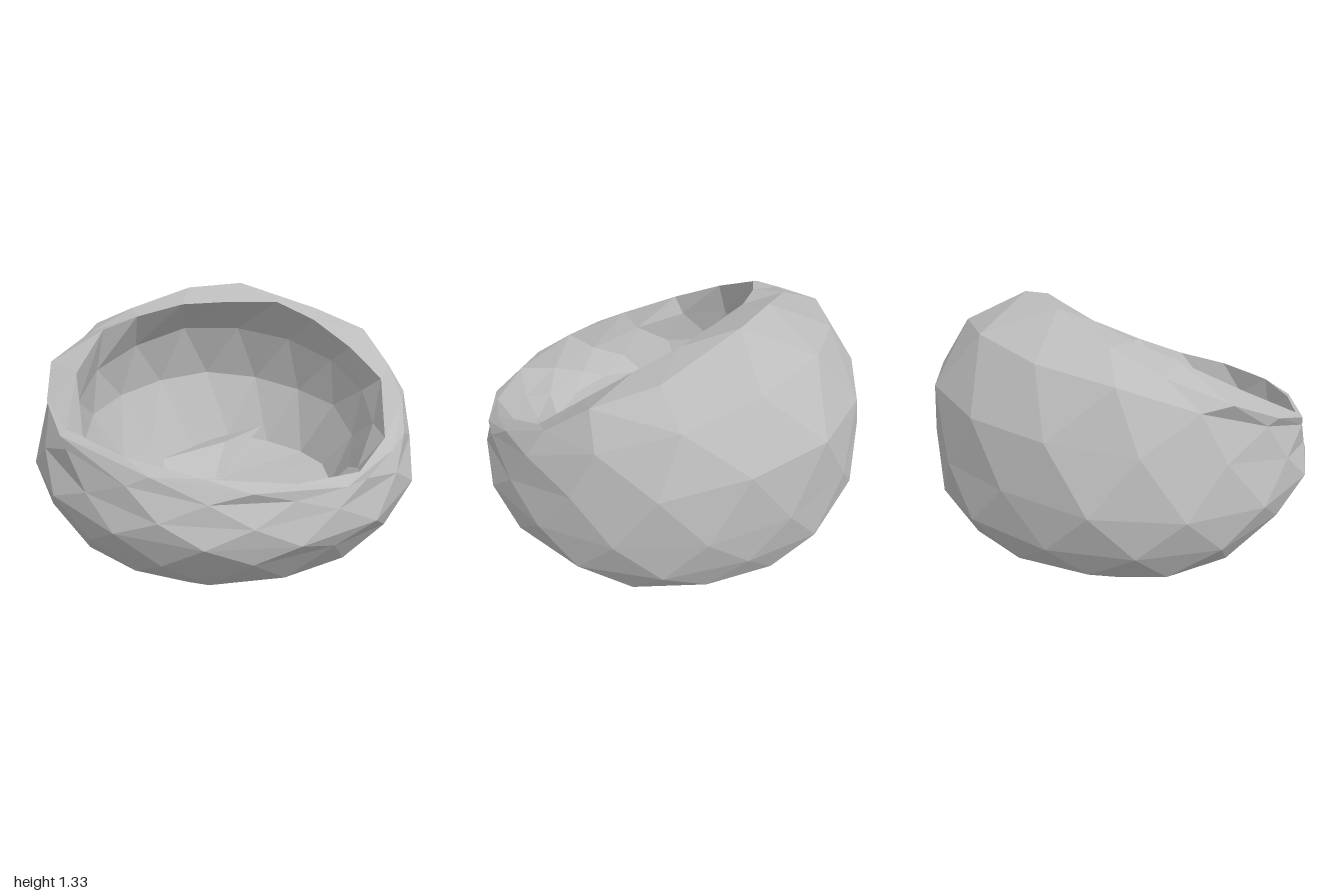
import * as THREE from 'three';

const SIDES = 15;

// small seeded generator for the hewn irregularity
function seeded(seed) {
  return () => {
    seed = (seed * 16807) % 2147483647;
    return seed / 2147483647 - 0.5;
  };
}

const v = (x, y, z) => new THREE.Vector3(x, y, z);

// tilted oval rings: [zFront, zBack, halfWidth, yFront, yBack, roughness, xMiddle]
const OUTER = [
  [0.60, -0.70, 0.61, 0.01, 0.04, 0.03, 0],
  [0.82, -0.88, 0.84, 0.14, 0.19, 0.05, 0],
  [0.96, -0.97, 0.96, 0.31, 0.38, 0.05, 0],
  [1.00, -1.00, 1.00, 0.42, 0.63, 0.04, 0],
  [0.99, -0.96, 0.97, 0.50, 0.93, 0.04, 0],
  [0.96, -0.77, 0.91, 0.58, 1.20, 0.03, 0],
];
const INNER = [
  [0.85, -0.50, 0.75, 0.54, 1.06, 0.04, -0.02],
  [0.79, -0.57, 0.71, 0.46, 0.78, 0.04, -0.04],
  [0.72, -0.40, 0.58, 0.40, 0.42, 0.03, -0.05],
];

// uneven crest and the lip of the opening, from the front round by the left
const CREST = [
  v(0, 0.645, 0.95), v(0.42, 0.63, 0.89), v(0.70, 0.70, 0.66), v(0.84, 0.85, 0.38),
  v(0.85, 0.97, 0.12), v(0.77, 1.12, -0.08), v(0.56, 1.20, -0.30), v(0.15, 1.33, -0.46),
  v(-0.15, 1.31, -0.45), v(-0.48, 1.21, -0.38), v(-0.70, 1.11, -0.25), v(-0.90, 1.0, -0.03),
  v(-0.90, 0.87, 0.25), v(-0.82, 0.78, 0.50), v(-0.43, 0.69, 0.82),
];
const LIP = [
  v(0.20, 0.66, 0.90), v(0.50, 0.66, 0.80), v(0.68, 0.74, 0.60), v(0.78, 0.92, 0.22),
  v(0.66, 1.05, 0.05), v(0.50, 1.17, -0.12), v(0.32, 1.25, -0.25), v(0.05, 1.25, -0.28),
  v(-0.20, 1.24, -0.29), v(-0.45, 1.19, -0.22), v(-0.63, 1.14, -0.13), v(-0.76, 0.98, 0.15),
  v(-0.79, 0.80, 0.48), v(-0.53, 0.74, 0.70), v(-0.20, 0.69, 0.87),
];

function makeRing([zF, zB, w, yF, yB, rough, xMid], index, rand) {
  const points = [];
  for (let j = 0; j < SIDES; j++) {
    const a = ((j + (index % 2) * 0.5) / SIDES) * Math.PI * 2;
    const t = (1 - Math.cos(a)) / 2;
    const r = 1 + rand() * rough;
    points.push(v(
      xMid + Math.sin(a) * w * r,
      Math.max(0, yF + (yB - yF) * t + rand() * rough),
      (zF + zB) / 2 + Math.cos(a) * ((zF - zB) / 2) * r,
    ));
  }
  return points;
}

// triangles between rings, staggered by half a step from ring to ring
function skin(rings, firstIndex) {
  const tris = [];
  for (let i = 0; i < rings.length - 1; i++) {
    const odd = (firstIndex + i) % 2;
    for (let j = 0; j < SIDES; j++) {
      const k = (j + 1) % SIDES;
      const a = rings[i][j], b = rings[i][k], c = rings[i + 1][j], d = rings[i + 1][k];
      if (odd) tris.push([a, b, d], [a, d, c]);
      else tris.push([a, b, c], [b, d, c]);
    }
  }
  return tris;
}

function cap(ring, centre, up) {
  return ring.map((p, j) => {
    const q = ring[(j + 1) % SIDES];
    return up ? [centre, p, q] : [centre, q, p];
  });
}

export function createModel() {
  const group = new THREE.Group();
  group.name = 'hollowRock';
  const stone = new THREE.MeshStandardMaterial({
    color: 0xbcbcbc, flatShading: true, side: THREE.DoubleSide,
  });
  stone.name = 'stone grey';

  const add = (name, tris) => {
    const geo = new THREE.BufferGeometry().setFromPoints(tris.flat());
    geo.computeVertexNormals();
    const mesh = new THREE.Mesh(geo, stone);
    mesh.name = name;
    group.add(mesh);
  };

  const rand = seeded(4711);
  const outer = [...OUTER.map((r, i) => makeRing(r, i, rand)), CREST, LIP];
  const lipIndex = outer.length - 1;
  const inner = [LIP, ...INNER.map((r, i) => makeRing(r, lipIndex + 1 + i, rand))];

  // faceted outside with the high hood at the back
  add('outerShell', skin(outer, 0));
  add('base', cap(outer[0], v(0, 0, 0), false));

  // hollow and its floor
  add('hollowWall', skin(inner, lipIndex));
  add('hollowFloor', cap(inner[inner.length - 1], v(0, 0.39, 0.15), true));

  // raised shard on the floor: a ridge with a slope on either side
  const ridge = [v(-0.34, 0.49, 0.11), v(0, 0.53, 0), v(0.25, 0.53, -0.25)];
  const back = v(-0.05, 0.46, -0.24);
  const front = [v(-0.34, 0.36, 0.31), v(-0.08, 0.38, 0.19)];
  add('floorShard', [
    [ridge[0], ridge[1], back],
    [ridge[1], ridge[2], back],
    [ridge[0], front[0], front[1]],
    [ridge[0], front[1], ridge[1]],
    [ridge[1], front[1], ridge[2]],
  ]);

  return group;
}
